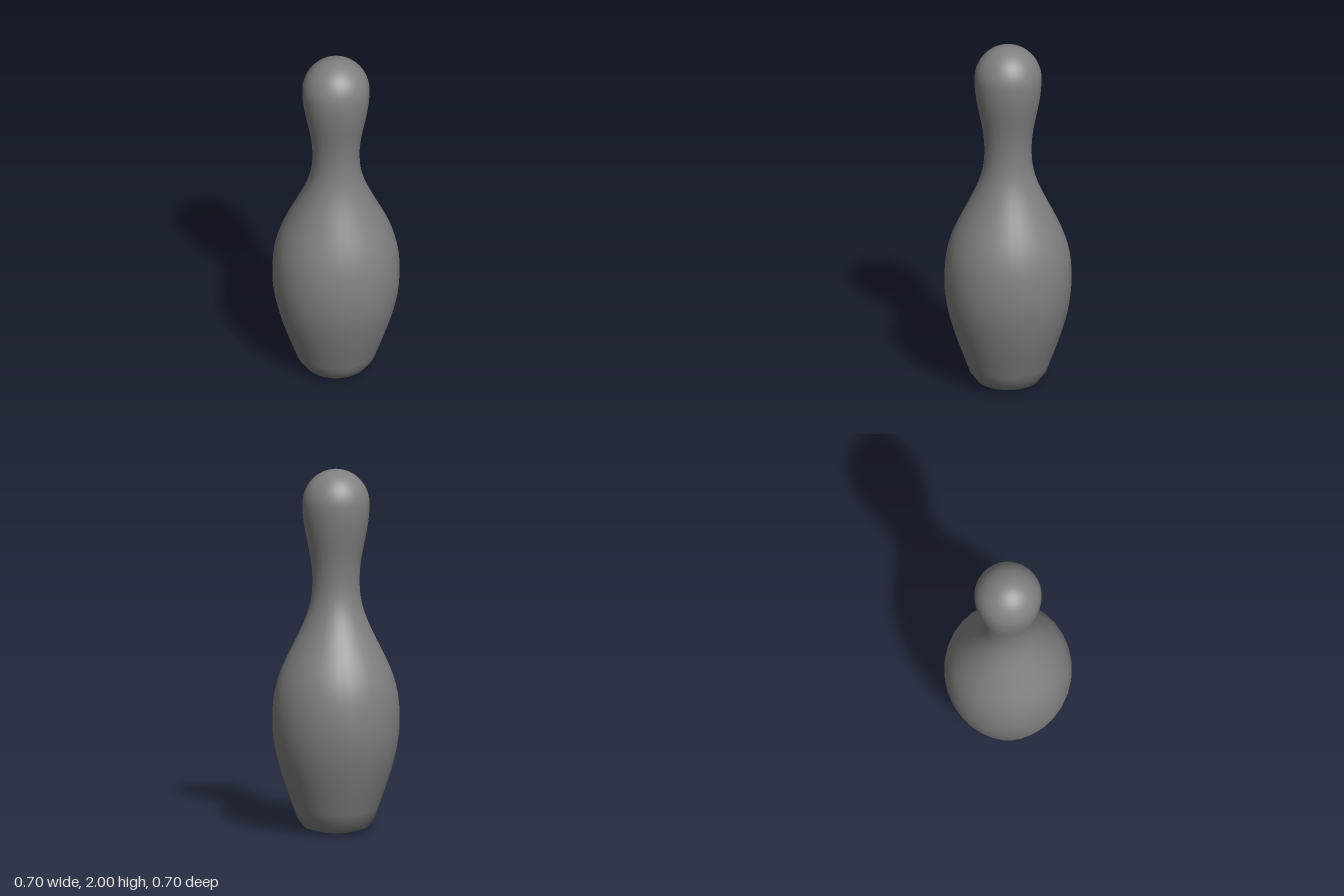
import * as THREE from 'three';

export function createModel() {
  const group = new THREE.Group();
  const SIDES = 32;

  // half outline from the small hole in the base up to the top of the head
  const outline = new THREE.Path();
  outline.moveTo(0.024, 0);
  // chamfered foot
  outline.lineTo(0.1, 0.004);
  outline.lineTo(0.172, 0.025);
  outline.lineTo(0.213, 0.08);
  // belly, lower and upper half
  outline.bezierCurveTo(0.276, 0.26, 0.348, 0.43, 0.348, 0.62);
  outline.bezierCurveTo(0.348, 0.84, 0.29, 0.916, 0.202, 1.1);
  // shoulder, neck and head
  outline.bezierCurveTo(0.144, 1.22, 0.129, 1.29, 0.129, 1.39);
  outline.bezierCurveTo(0.129, 1.54, 0.184, 1.66, 0.184, 1.81);
  // rounded crown
  outline.bezierCurveTo(0.184, 1.915, 0.102, 2, 0, 2);

  const pin = new THREE.Mesh(
    new THREE.LatheGeometry(outline.getPoints(12), SIDES),
    new THREE.MeshStandardMaterial({ color: 0x808080, side: THREE.DoubleSide }),
  );
  pin.name = 'pinBody';
  group.add(pin);

  return group;
}
